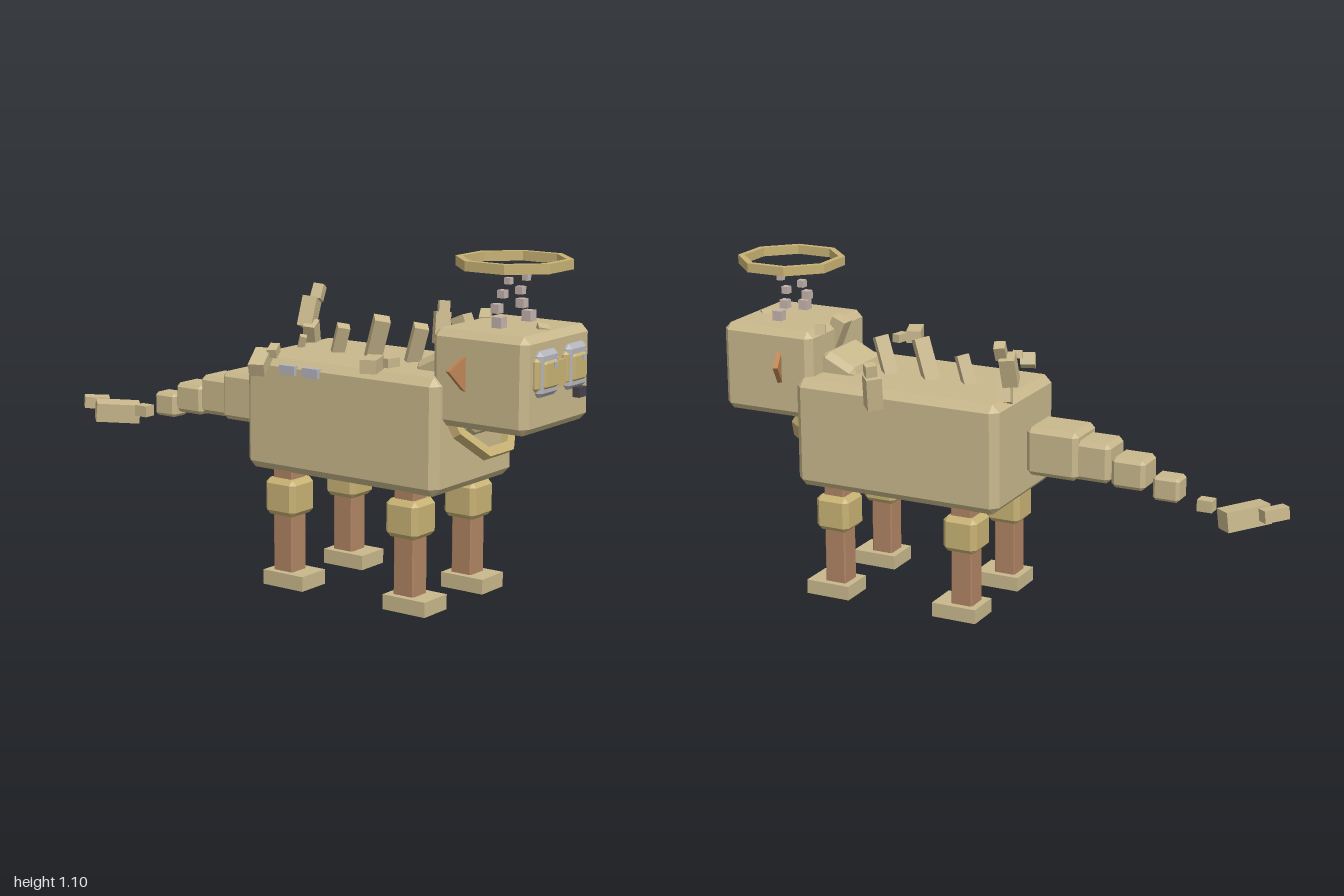
import * as THREE from 'three';
import { ConvexGeometry } from 'three/addons/geometries/ConvexGeometry.js';

const CX = -0.02; // body midline

export function createModel() {
  const model = new THREE.Group();
  const mat = (name, color) => {
    const m = new THREE.MeshStandardMaterial({ color });
    m.name = name;
    return m;
  };
  const tan = mat('tan', 0xc9b88c);
  const gold = mat('gold', 0xc8b274);
  const brown = mat('brown', 0xb08463);
  const orange = mat('earOrange', 0xbd8556);
  const silver = mat('silver', 0xb4b4bc);
  const pink = mat('bubblePink', 0xc4b2ac);
  const dark = mat('dark', 0x46424a);

  // Box with a single chamfer on every edge
  function chamferGeo(w, h, d, b) {
    const pts = [];
    for (const x of [-1, 1]) for (const y of [-1, 1]) for (const z of [-1, 1]) {
      const X = x * w / 2, Y = y * h / 2, Z = z * d / 2;
      pts.push(
        new THREE.Vector3(X, Y - y * b, Z - z * b),
        new THREE.Vector3(X - x * b, Y, Z - z * b),
        new THREE.Vector3(X - x * b, Y - y * b, Z));
    }
    return new ConvexGeometry(pts);
  }
  function box(name, m, size, pos, rot = [0, 0, 0], bevel = 0, parent = model) {
    const g = bevel ? chamferGeo(...size, bevel) : new THREE.BoxGeometry(...size);
    const mesh = new THREE.Mesh(g, m);
    mesh.name = name;
    mesh.position.set(...pos);
    mesh.rotation.set(...rot);
    parent.add(mesh);
    return mesh;
  }
  // Flat octagonal ring with flat sides facing the axes
  function octagonRing(name, apothem, width, height) {
    const corner = (r, i) => {
      const a = (i + 0.5) * Math.PI / 4, R = r / Math.cos(Math.PI / 8);
      return new THREE.Vector2(Math.cos(a) * R, Math.sin(a) * R);
    };
    const ids = [0, 1, 2, 3, 4, 5, 6, 7];
    const shape = new THREE.Shape(ids.map(i => corner(apothem, i)));
    shape.holes.push(new THREE.Path(ids.map(i => corner(apothem - width, i))));
    const g = new THREE.ExtrudeGeometry(shape, { depth: height, bevelEnabled: false });
    g.translate(0, 0, -height / 2);
    const mesh = new THREE.Mesh(g, gold);
    mesh.name = name;
    model.add(mesh);
    return mesh;
  }

  // Body, neck and head
  box('body', tan, [0.44, 0.365, 0.735], [CX, 0.558, 0.257], [0, 0, 0], 0.025);
  box('neck', tan, [0.21, 0.27, 0.14], [CX, 0.665, 0.575], [-0.45, 0, 0], 0.02);
  box('head', tan, [0.37, 0.295, 0.335], [CX, 0.742, 0.747], [0, 0, 0], 0.022);

  // Collar around the neck and halo above the head
  const collar = octagonRing('collar', 0.158, 0.03, 0.03);
  collar.position.set(CX, 0.62, 0.625);
  collar.rotation.x = -0.56;
  const halo = octagonRing('halo', 0.165, 0.02, 0.03);
  halo.position.set(CX, 1.08, 0.752);
  halo.rotation.x = Math.PI / 2;

  // Legs
  for (const x of [-0.18, 0.14]) for (const z of [0.495, 0.025]) {
    const leg = new THREE.Group();
    leg.name = z > 0.2 ? 'frontLeg' : 'backLeg';
    leg.position.set(x, 0, z);
    box('shin', brown, [0.075, 0.36, 0.075], [0, 0.22, 0], [0, 0, 0], 0.004, leg);
    box('knee', gold, [0.12, 0.12, 0.12], [0, 0.292, 0], [0, 0, 0], 0.016, leg);
    box('foot', tan, [0.12, 0.048, 0.157], [0, 0.024, 0.018], [0, 0, 0], 0, leg);
    model.add(leg);
  }

  // Face
  for (const s of [-1, 1]) {
    const x = CX + s * 0.081;
    box('eyeRim', gold, [0.13, 0.1, 0.03], [x, 0.775, 0.915], [0, 0, 0], 0.01);
    box('eyeFrame', silver, [0.108, 0.138, 0.04], [x, 0.775, 0.915], [0, 0, 0], 0.014);
    box('eyeLens', gold, [0.078, 0.085, 0.05], [x, 0.773, 0.917], [0, 0, 0], 0.008);
    box('eyeGlint', silver, [0.016, 0.016, 0.005], [x + 0.015, 0.801, 0.943]);

    // Triangular ear swept slightly back
    const tri = new THREE.Shape([[-0.01, 0.075], [-0.01, -0.05], [0.062, 0.028]]
      .map(p => new THREE.Vector2(...p)).reverse());
    const g = new THREE.ExtrudeGeometry(tri, { depth: 0.016, bevelEnabled: false });
    g.translate(0, 0, -0.008);
    const ear = new THREE.Mesh(g, orange);
    ear.name = 'ear';
    ear.position.set(CX + s * 0.183, 0.747, 0.698);
    ear.rotation.y = s > 0 ? 0.32 : Math.PI - 0.32;
    model.add(ear);
  }
  box('eyeBridge', gold, [0.05, 0.08, 0.02], [CX, 0.765, 0.916]);
  box('nose', dark, [0.04, 0.03, 0.024], [CX, 0.715, 0.986]);

  // Columns of bubbles rising from the head: half spacing, y, z, size
  for (const [dx, y, z, size] of [
    [0.083, 0.91, 0.755, 0.033], [0.07, 0.948, 0.738, 0.028],
    [0.05, 0.99, 0.745, 0.024], [0.05, 1.031, 0.765, 0.02],
  ]) for (const s of [-1, 1]) box('bubble', pink, [size, size, size], [CX + s * dx, y, z]);

  // Tail segments: width, height, length, y, z, bevel
  for (const [w, h, d, y, z, b] of [
    [0.16, 0.16, 0.18, 0.562, -0.235, 0.016], [0.13, 0.13, 0.14, 0.55, -0.36, 0.015],
    [0.112, 0.1, 0.115, 0.525, -0.488, 0.013], [0.076, 0.08, 0.09, 0.488, -0.61, 0.01],
    [0.042, 0.038, 0.05, 0.448, -0.735, 0],
  ]) box('tailSegment', tan, [w, h, d], [CX, y, z], [0, 0, 0], b);
  box('tailTip', tan, [0.15, 0.065, 0.07], [CX, 0.43, -0.86], [0.12, -0.75, 0]);
  box('tailEnd', tan, [0.085, 0.04, 0.042], [CX, 0.452, -0.957], [0.1, -0.75, 0]);

  // Slanted back spikes: y, z, height, thickness
  for (const [y, z, h, t] of [
    [0.75, -0.05, 0.06, 0.022], [0.775, 0.105, 0.11, 0.04],
    [0.795, 0.25, 0.15, 0.05], [0.79, 0.4, 0.14, 0.045], [0.885, 0.855, 0.03, 0.034],
  ]) box('backSpike', tan, [t, h, t], [CX, y, z], [0.25, 0.75, 0.12]);
  box('neckSpike', tan, [0.05, 0.11, 0.05], [CX, 0.85, 0.585], [-0.4, 0, 0]);
  box('headChip', tan, [0.08, 0.03, 0.035], [0.085, 0.885, 0.585], [0, 0.5, 0.2]);

  // Drifting shards: size, position, rotation
  for (const [size, pos, rot] of [
    [[0.1, 0.042, 0.05], [-0.34, 0.785, 0.462], [0, 0.38, 0]],
    [[0.05, 0.028, 0.03], [-0.277, 0.785, 0.485], [0, -0.2, 0]],
    [[0.1, 0.042, 0.05], [-0.333, 0.745, 0.03], [0, 0.4, 0.4]],
    [[0.05, 0.028, 0.03], [-0.285, 0.775, 0.045], [0, 0.4, 0.3]],
    [[0.055, 0.105, 0.05], [0.348, 0.785, 0.245], [0.1, 0.75, -0.2]],
    [[0.036, 0.06, 0.036], [0.352, 0.845, 0.25], [0.1, 0.75, -0.2]],
    [[0.055, 0.1, 0.05], [0.09, 0.835, -0.103], [0.1, 0.3, -0.35]],
    [[0.036, 0.05, 0.036], [0.115, 0.9, -0.085], [0.1, 0.3, -0.5]],
    [[0.05, 0.09, 0.04], [0.08, 0.765, -0.085], [0.1, 0.3, 0.4]],
  ]) box('shard', tan, size, pos, rot);

  // Side studs
  for (const z of [0.07, 0.16]) box('sideStud', silver, [0.025, 0.03, 0.06], [-0.24, 0.71, z]);

  return model;
}
